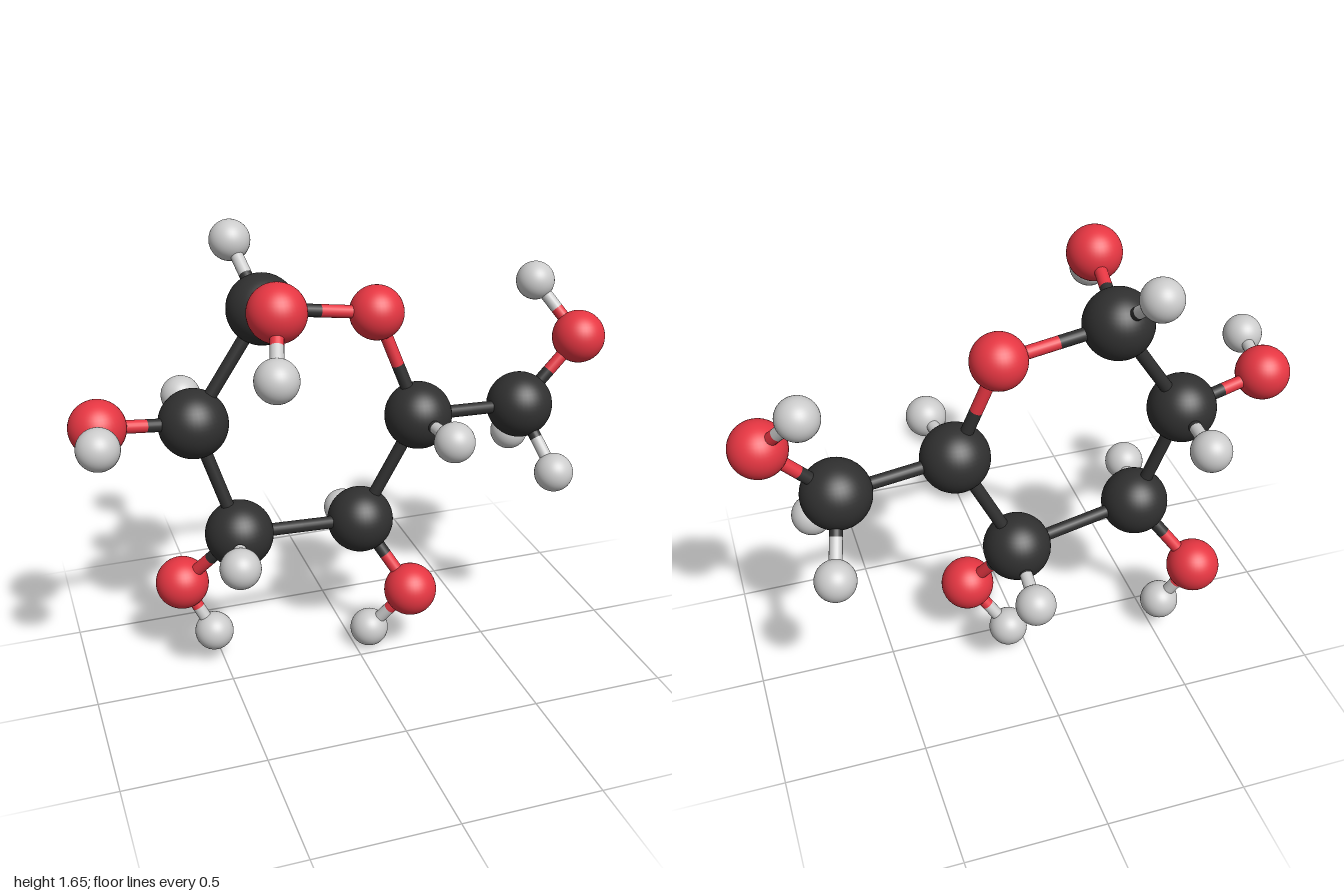
import * as THREE from 'three';

// Radius and colour of each kind of ball
const KINDS = {
  C: { name: 'carbon', radius: 0.123, color: 0x303030 },
  O: { name: 'oxygen', radius: 0.098, color: 0xe63642 },
  H: { name: 'hydrogen', radius: 0.072, color: 0xcccccc },
};
const BOND_RADIUS = 0.023;

// Ball centres; the first letter of each key gives its kind
const ATOMS = {
  // ring
  C1: [-0.313, 1.387, -0.12],
  C2: [-0.57, 1.0, -0.12],
  C3: [-0.437, 0.573, -0.067],
  C4: [0.04, 0.523, -0.126],
  C5: [0.247, 0.937, -0.08],
  O5: [0.103, 1.327, -0.13],
  // side arm
  C6: [0.668, 0.909, -0.117],
  O6: [0.9, 1.15, -0.123],
  H6a: [0.737, 0.696, 0.063],
  H6b: [0.727, 0.709, -0.317],
  H6o: [0.78, 1.337, -0.267],
  // hydroxyl branches
  O1: [-0.346, 1.48, 0.205],
  H1o: [-0.4, 1.327, 0.388],
  O2: [-0.902, 1.05, -0.07],
  H2o: [-0.93, 1.075, 0.158],
  O3: [-0.63, 0.325, -0.212],
  H3o: [-0.53, 0.127, -0.157],
  O4: [0.193, 0.267, 0.012],
  H4o: [0.058, 0.076, -0.07],
  // single hydrogens on the ring
  H1: [-0.368, 1.577, -0.325],
  H2: [-0.56, 1.0, -0.391],
  H3: [-0.492, 0.571, 0.176],
  H4: [0.048, 0.452, -0.37],
  H5: [0.28, 0.938, 0.188],
};

const BONDS = [
  'C1 C2', 'C2 C3', 'C3 C4', 'C4 C5', 'C5 O5', 'O5 C1',
  'C5 C6', 'C6 O6', 'C6 H6a', 'C6 H6b', 'O6 H6o',
  'C1 O1', 'O1 H1o', 'C2 O2', 'O2 H2o', 'C3 O3', 'O3 H3o', 'C4 O4', 'O4 H4o',
  'C1 H1', 'C2 H2', 'C3 H3', 'C4 H4', 'C5 H5',
];

export function createModel() {
  const model = new THREE.Group();
  model.name = 'ballAndStickMolecule';

  const materials = {}, balls = {};
  for (const [key, kind] of Object.entries(KINDS)) {
    materials[key] = new THREE.MeshStandardMaterial({ color: kind.color });
    balls[key] = new THREE.SphereGeometry(kind.radius, 40, 24);
  }

  // Balls
  for (const [key, position] of Object.entries(ATOMS)) {
    const ball = new THREE.Mesh(balls[key[0]], materials[key[0]]);
    ball.name = `${KINDS[key[0]].name} ${key}`;
    ball.position.set(...position);
    model.add(ball);
  }

  // Half a stick, from a ball's centre to the middle of the bond
  const up = new THREE.Vector3(0, 1, 0);
  function halfStick(from, to, material) {
    const along = to.clone().sub(from);
    const geometry = new THREE.CylinderGeometry(BOND_RADIUS, BOND_RADIUS, along.length(), 20);
    const stick = new THREE.Mesh(geometry, material);
    stick.position.copy(from).add(to).multiplyScalar(0.5);
    stick.quaternion.setFromUnitVectors(up, along.normalize());
    stick.name = 'halfStick';
    return stick;
  }

  // Sticks, each half coloured like the ball it meets
  for (const pair of BONDS) {
    const [a, b] = pair.split(' ');
    const start = new THREE.Vector3(...ATOMS[a]);
    const end = new THREE.Vector3(...ATOMS[b]);
    const middle = start.clone().lerp(end, 0.5);
    const bond = new THREE.Group();
    bond.name = `bond ${a} to ${b}`;
    bond.add(halfStick(start, middle, materials[a[0]]), halfStick(middle, end, materials[b[0]]));
    model.add(bond);
  }

  return model;
}
